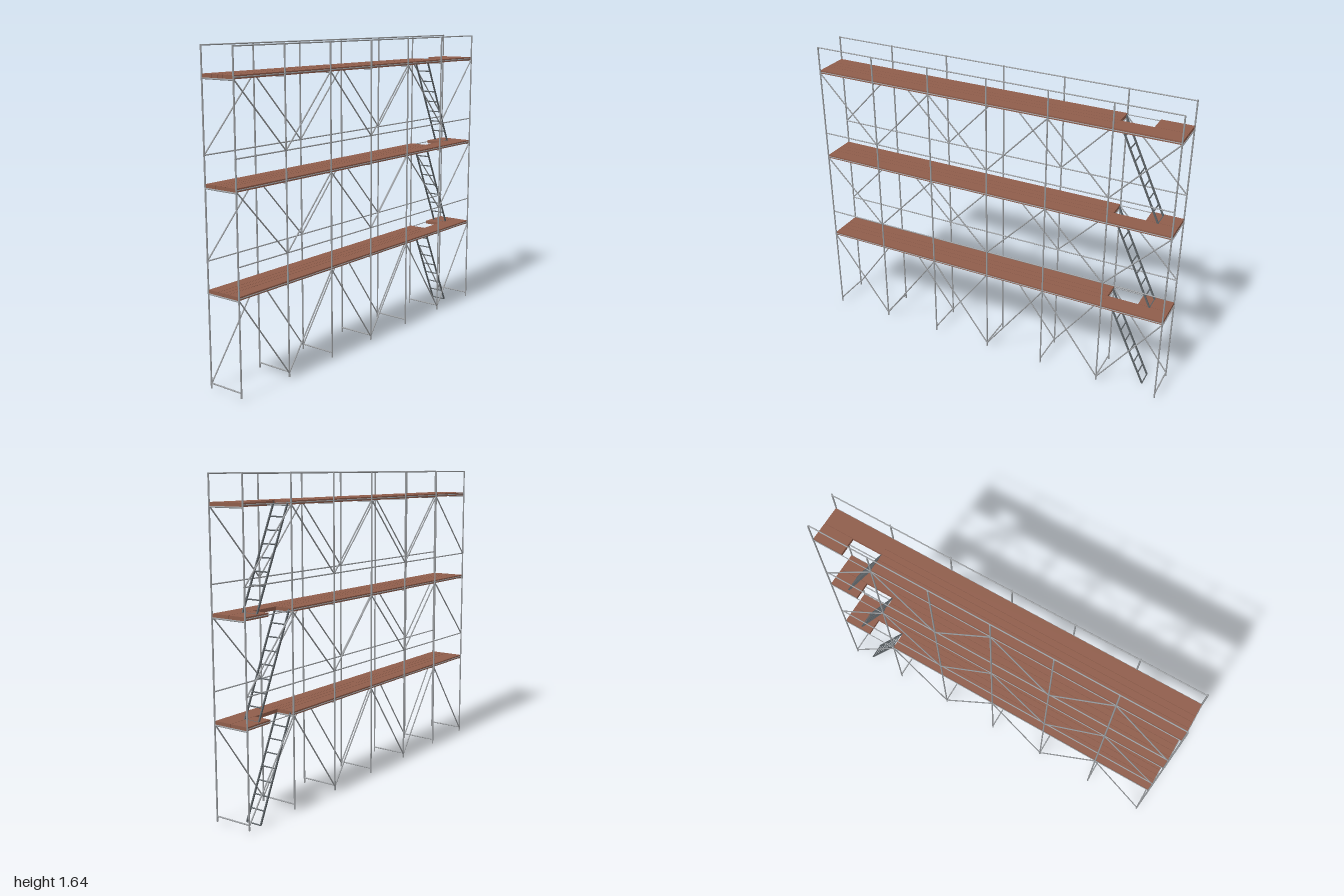
import * as THREE from 'three';

const steel = new THREE.MeshStandardMaterial({ color: 0x9a9da0 });
steel.name = 'steel';
const ladderMetal = new THREE.MeshStandardMaterial({ color: 0x5c6266 });
ladderMetal.name = 'darkLadderMetal';
const wood = new THREE.MeshStandardMaterial({ color: 0x8f5d4b });
wood.name = 'brownPlank';

const UP = new THREE.Vector3(0, 1, 0);
const END = 0.9955, BAY = END / 3, SIDE = 0.1;
const BAYS = 6;
const postX = (i) => -END + i * BAY;

// Round tube between two points
function tube(parent, name, a, b, r, mat = steel) {
  const p = new THREE.Vector3(...a), q = new THREE.Vector3(...b);
  const d = q.clone().sub(p);
  const mesh = new THREE.Mesh(new THREE.CylinderGeometry(r, r, d.length(), 8), mat);
  mesh.position.copy(p).add(q).multiplyScalar(0.5);
  mesh.quaternion.setFromUnitVectors(UP, d.normalize());
  mesh.name = name;
  parent.add(mesh);
}

// Flat board given by its x and z limits and its top height
function plank(parent, x0, x1, z0, z1, top) {
  const h = 0.018;
  const mesh = new THREE.Mesh(new THREE.BoxGeometry(x1 - x0, h, z1 - z0), wood);
  mesh.position.set((x0 + x1) / 2, top - h / 2, (z0 + z1) / 2);
  mesh.name = 'plank';
  parent.add(mesh);
}

function createDeck(y) {
  const deck = new THREE.Group();
  deck.name = 'deck';
  const top = y + 0.009;
  // long boards with narrow gaps, stopping at the ladder bay
  const cuts = [-0.098, -0.034, 0, 0.032, 0.098];
  for (let i = 0; i < 4; i++) {
    plank(deck, -END, postX(5), cuts[i] + 0.001, cuts[i + 1] - 0.001, top);
  }
  // ladder bay: walkway at the front, landing behind the opening
  plank(deck, postX(5), END, 0.001, 0.097, top);
  plank(deck, 0.832, END, -0.097, -0.001, top);
  // bearers
  for (let i = 0; i <= BAYS; i++) {
    tube(deck, 'transom', [postX(i), y - 0.012, -SIDE], [postX(i), y - 0.012, SIDE], 0.004);
  }
  for (const z of [-SIDE, SIDE]) {
    tube(deck, 'ledger', [-END, y, z], [END, y, z], 0.0025);
  }
  return deck;
}

function createLadder(y0, y1) {
  const ladder = new THREE.Group();
  ladder.name = 'ladder';
  const xTop = 0.664, xFoot = 0.895, zA = 0.004, zB = -0.081;
  const dx = xTop - xFoot, dy = y1 - y0;
  const length = Math.hypot(dx, dy);
  for (const z of [zA, zB]) {
    const rail = new THREE.Mesh(new THREE.BoxGeometry(0.009, length, 0.006), ladderMetal);
    rail.position.set((xTop + xFoot) / 2, (y0 + y1) / 2, z);
    rail.rotation.z = Math.atan2(-dx, dy);
    rail.name = 'ladderRail';
    ladder.add(rail);
  }
  for (let i = 0; i < 8; i++) {
    const t = i * 0.0615 / dy;
    const x = xFoot + dx * t, y = y0 + dy * t;
    tube(ladder, 'rung', [x, y, zA], [x, y, zB], 0.0035, ladderMetal);
  }
  return ladder;
}

export function createModel() {
  const model = new THREE.Group();
  model.name = 'scaffold';

  // Upright frames
  const frames = new THREE.Group();
  frames.name = 'frames';
  for (let i = 0; i <= BAYS; i++) {
    const x = postX(i);
    for (const z of [-SIDE, SIDE]) {
      tube(frames, 'post', [x, 0.015, z], [x, 1.64, z], 0.0042);
    }
    tube(frames, 'baseTransom', [x, 0.042, -SIDE], [x, 0.042, SIDE], 0.0038);
  }
  model.add(frames);

  // Guard rails on both long sides
  const rails = new THREE.Group();
  rails.name = 'guardRails';
  for (const y of [0.645, 1.142, 1.637]) {
    for (const z of [-0.096, 0.096]) {
      tube(rails, 'guardRail', [-END, y, z], [END, y, z], 0.0034);
    }
  }
  model.add(rails);

  // Zigzag braces, opposite on front and back
  const braces = new THREE.Group();
  braces.name = 'braces';
  for (const [low, high] of [[0.037, 0.49], [0.645, 0.995], [1.142, 1.495]]) {
    for (let b = 0; b < BAYS; b++) {
      for (const side of [-1, 1]) {
        const falling = (b % 2 === 0) === (side > 0);
        const ya = falling ? high : low, yb = falling ? low : high;
        tube(braces, 'brace', [postX(b), ya, side * SIDE], [postX(b + 1), yb, side * SIDE], 0.0036);
      }
    }
  }
  model.add(braces);

  // Decks, each reached by a ladder
  const levels = [0.497, 1.0, 1.502];
  levels.forEach((y, i) => {
    model.add(createDeck(y));
    model.add(createLadder(i === 0 ? 0.004 : levels[i - 1] + 0.007, y + 0.003));
  });
  return model;
}
